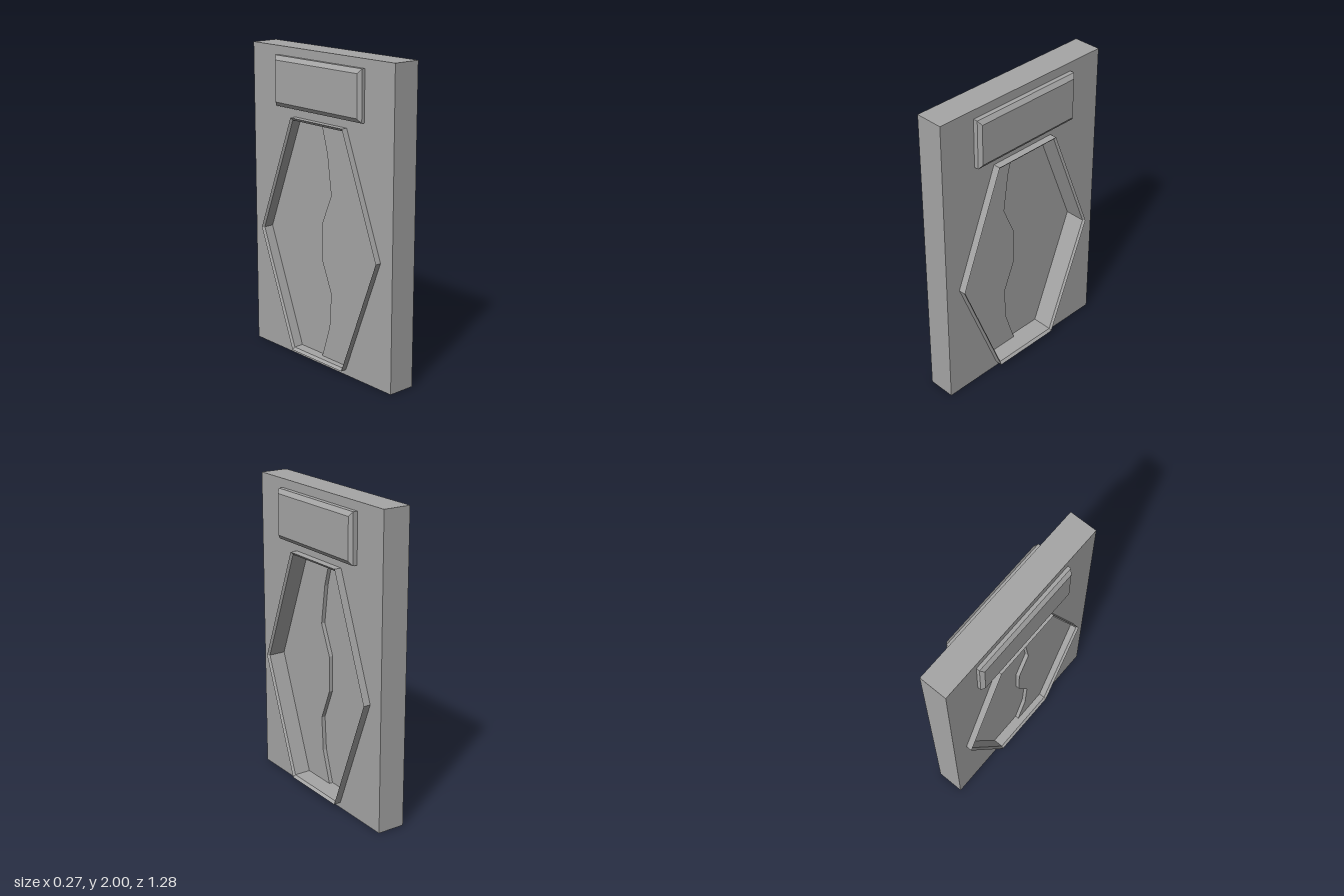
import * as THREE from 'three';

// Shapes are drawn in a side plane (u = -z, y) and extruded along x.
const CY = 0.803;
const HEX = [[-0.24, 0.035], [0.233, 0.035], [0.535, 0.805], [0.233, 1.572], [-0.24, 1.572], [-0.54, 0.805]];
const INNER = HEX.map(([u, y]) => [u * 0.978, CY + (y - CY) * 0.978]);

// Seam between the two leaves, top to bottom
const SEAM = [[0, INNER[3][1]], [-0.05, 1.38], [-0.085, 1.125], [0, 0.93],
  [0, 0.695], [-0.085, 0.49], [-0.07, 0.265], [0, INNER[0][1]]];

const toVectors = (pts) => pts.map(([u, y]) => new THREE.Vector2(u, y));

function slabBetween(pts, x0, x1, hole) {
  const shape = new THREE.Shape(toVectors(pts));
  if (hole) shape.holes.push(new THREE.Path(toVectors(hole)));
  const geo = new THREE.ExtrudeGeometry(shape, { depth: x1 - x0, bevelEnabled: false });
  return geo.translate(0, 0, x0).rotateY(Math.PI / 2);
}

// Joins consecutive loops {pts, x} with flat quads; optionally caps the last loop
function loft(loops, closed, cap) {
  const pos = [];
  const at = (k, i) => {
    const { pts, x } = loops[k % loops.length];
    const [u, y] = pts[i % pts.length];
    return [x, y, -u];
  };
  const n = loops[0].pts.length;
  const spans = closed ? loops.length : loops.length - 1;
  for (let k = 0; k < spans; k++) {
    for (let i = 0; i < n; i++) {
      const a = at(k, i), b = at(k, i + 1), c = at(k + 1, i + 1), d = at(k + 1, i);
      pos.push(...a, ...b, ...c, ...a, ...c, ...d);
    }
  }
  if (cap) {
    const k = loops.length - 1;
    for (let i = 1; i < n - 1; i++) pos.push(...at(k, 0), ...at(k, i), ...at(k, i + 1));
  }
  const geo = new THREE.BufferGeometry();
  geo.setAttribute('position', new THREE.Float32BufferAttribute(pos, 3));
  geo.computeVertexNormals();
  return geo;
}

const rect = (w, y0, y1) => [[-w, y0], [w, y0], [w, y1], [-w, y1]];

export function createModel() {
  const group = new THREE.Group();
  const stone = new THREE.MeshStandardMaterial({ color: 0xa6a6a6 });
  stone.name = 'stone grey';
  const add = (name, geo) => {
    const mesh = new THREE.Mesh(geo, stone);
    mesh.name = name;
    group.add(mesh);
    return mesh;
  };

  // Wall with a six-sided opening
  add('wall', slabBetween(rect(0.64, 0, 2), -0.095, 0.087, HEX));

  // Frame lining the opening, with a chamfered inner lip on both faces
  add('doorFrame', loft([
    { pts: HEX, x: -0.135 }, { pts: HEX, x: 0.135 },
    { pts: INNER, x: 0.12 }, { pts: INNER, x: -0.12 },
  ], true, false));

  // Two recessed door leaves meeting at a jagged seam; the front one is thicker
  add('frontLeaf', slabBetween([...SEAM, INNER[0], INNER[5], INNER[4]], -0.08, 0.01));
  add('backLeaf', slabBetween([...SEAM, INNER[1], INNER[2], INNER[3]], -0.055, -0.015));

  // Bevelled plates above the door, one on each face
  const plate = loft([
    { pts: rect(0.393, 1.625, 1.943), x: 0.08 },
    { pts: rect(0.393, 1.625, 1.943), x: 0.117 },
    { pts: rect(0.373, 1.652, 1.915), x: 0.137 },
  ], false, true);
  add('rightPlate', plate);
  add('leftPlate', plate).rotation.y = Math.PI;

  return group;
}
